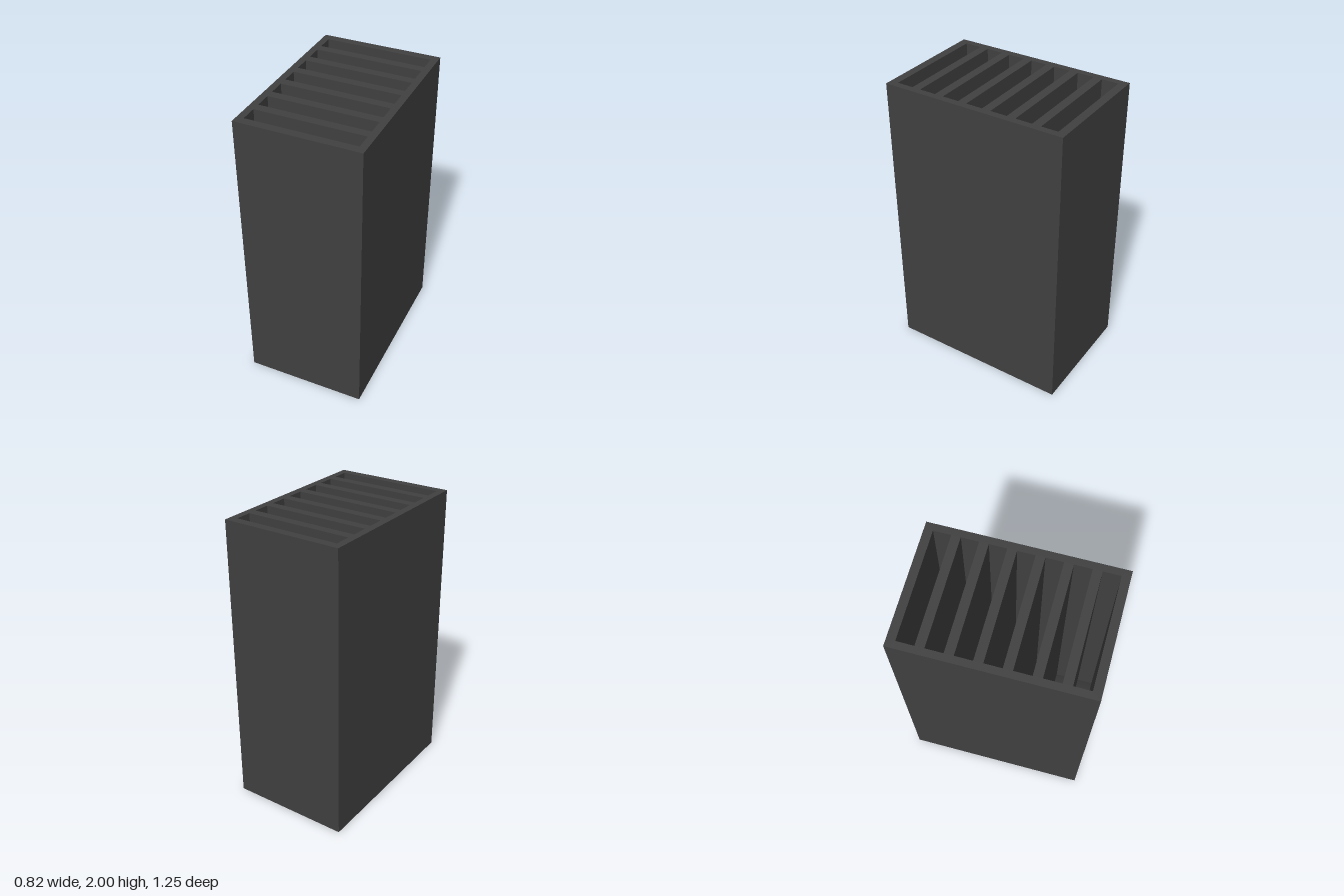
import * as THREE from 'three';

const W = 0.82, H = 2, D = 1.25;               // outer block
const SLOT_W = 0.726, SLOT_D = 0.112, PITCH = 0.171, COUNT = 7;
const EDGE_Y = 0.1, RISE = 0.1;                // slot floor: ends and crown

// Box without the listed faces (0 +x, 1 -x, 2 +y, 3 -y, 4 +z, 5 -z)
function openBox(w, h, d, omit) {
  const geo = new THREE.BoxGeometry(w, h, d);
  const index = Array.from(geo.index.array);
  geo.setIndex(index.filter((_, i) => !omit.includes(Math.floor(i / 6))));
  geo.clearGroups();
  return geo;
}

function rectangle(PathType, w, h, cy) {
  const p = new PathType();
  p.moveTo(-w / 2, cy - h / 2);
  p.lineTo(w / 2, cy - h / 2);
  p.lineTo(w / 2, cy + h / 2);
  p.lineTo(-w / 2, cy + h / 2);
  p.closePath();
  return p;
}

export function createModel() {
  const group = new THREE.Group();
  const material = new THREE.MeshStandardMaterial({ color: 0x404040 });
  const inner = new THREE.MeshStandardMaterial({ color: 0x404040, side: THREE.BackSide });

  function add(name, geo, mat, x = 0, y = 0, z = 0) {
    const mesh = new THREE.Mesh(geo, mat);
    mesh.name = name;
    mesh.position.set(x, y, z);
    group.add(mesh);
  }

  // Outer sides and base
  add('blockBody', openBox(W, H, D, [2]), material, 0, H / 2, 0);

  // Top plate pierced by a row of slots
  const zs = Array.from({ length: COUNT }, (_, i) => (i - (COUNT - 1) / 2) * PITCH);
  const top = rectangle(THREE.Shape, W, D, 0);
  zs.forEach(z => top.holes.push(rectangle(THREE.Path, SLOT_W, SLOT_D, -z)));
  add('topPlate', new THREE.ShapeGeometry(top).rotateX(-Math.PI / 2), material, 0, H, 0);

  // Slot floor: a gentle arch along x
  const floor = new THREE.PlaneGeometry(SLOT_W, SLOT_D, 32, 1).rotateX(-Math.PI / 2);
  const pos = floor.attributes.position;
  const half = SLOT_W / 2, radius = (half * half + RISE * RISE) / (2 * RISE);
  for (let i = 0; i < pos.count; i++) {
    const x = pos.getX(i);
    pos.setY(i, EDGE_Y + RISE - radius + Math.sqrt(radius * radius - x * x));
  }
  floor.computeVertexNormals();

  // Slot walls seen from inside
  const walls = openBox(SLOT_W, H - EDGE_Y, SLOT_D, [2, 3]);
  zs.forEach((z, i) => {
    add(`slotWalls${i + 1}`, walls, inner, 0, (H + EDGE_Y) / 2, z);
    add(`slotFloor${i + 1}`, floor, material, 0, 0, z);
  });
  return group;
}
